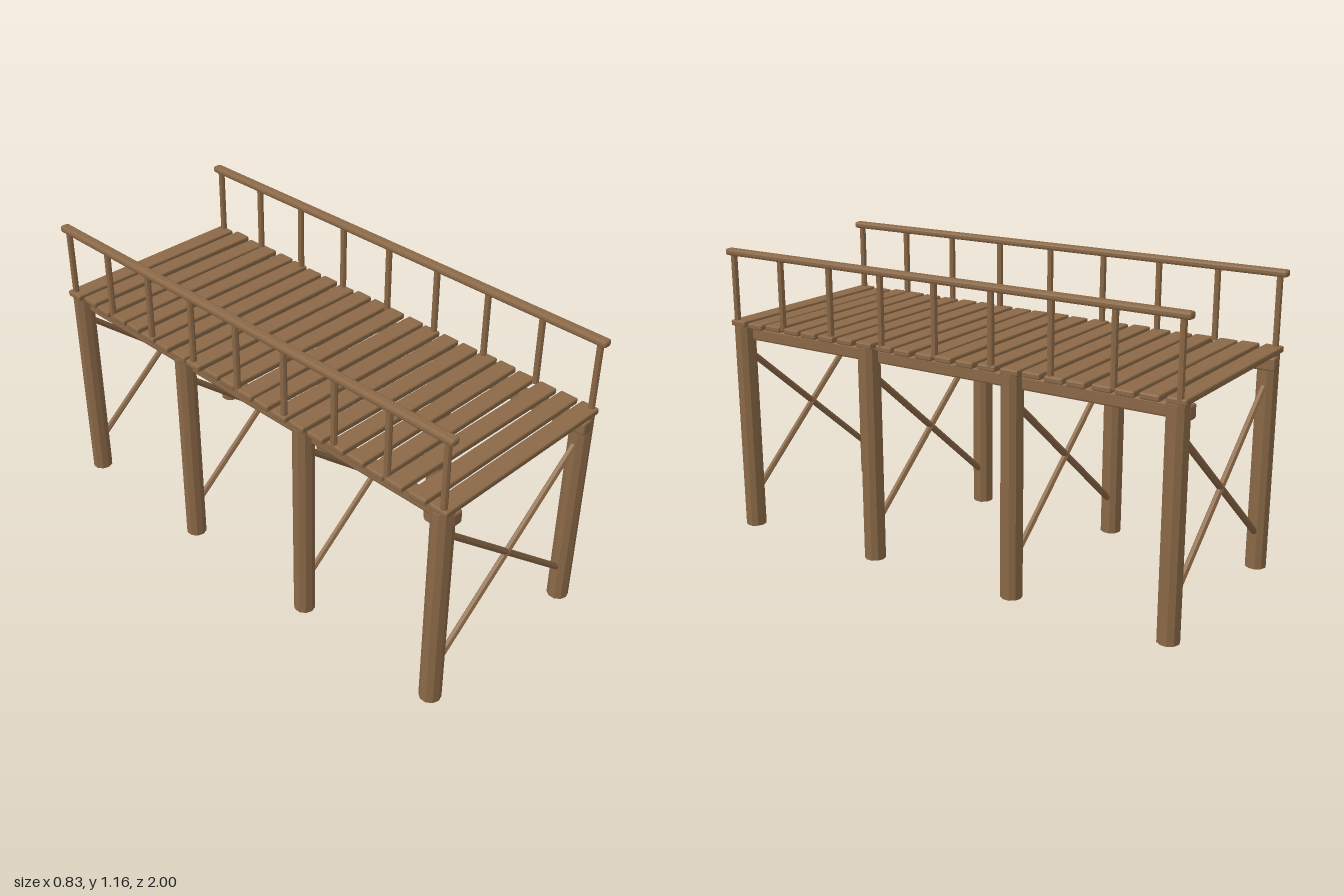
import * as THREE from 'three';
import { RoundedBoxGeometry } from 'three/addons/geometries/RoundedBoxGeometry.js';

const wood = new THREE.MeshStandardMaterial({ color: 0x8b6947 });
wood.name = 'brown wood';

// Faceted geometry: one normal per face
function faceted(geo) {
  const g = geo.index ? geo.toNonIndexed() : geo;
  g.computeVertexNormals();
  return g;
}

const bevelBox = (w, h, d, r) => faceted(new RoundedBoxGeometry(w, h, d, 1, r));
const pole = (r, h, sides) => faceted(new THREE.CylinderGeometry(r, r, h, sides));

function add(parent, name, geo, x, y, z) {
  const mesh = new THREE.Mesh(geo, wood);
  mesh.name = name;
  mesh.position.set(x, y, z);
  parent.add(mesh);
  return mesh;
}

// Small seeded generator, -1 to 1
function seeded(seed) {
  let s = seed;
  return () => {
    s = (s * 16807) % 2147483647;
    return (s / 2147483647) * 2 - 1;
  };
}

export function createModel() {
  const model = new THREE.Group();
  model.name = 'woodenPier';
  const rand = seeded(4211);

  // Four rows of support posts, each row tied by crossed braces
  const postGeo = pole(0.041, 0.85, 10);
  const braceGeo = pole(0.013, Math.hypot(0.72, 0.6), 6);
  const braceAngle = Math.atan2(0.72, 0.6);
  for (let row = 0; row < 4; row++) {
    const z = 0.953 - row * 0.635;
    for (const side of [-1, 1]) {
      add(model, 'supportPost', postGeo, side * 0.375, 0.425, z);
      add(model, 'crossBrace', braceGeo, 0, 0.438, z).rotation.z = side * braceAngle;
    }
  }

  // Deck planks, laid slightly unevenly
  const plankGeo = bevelBox(0.82, 0.024, 0.073, 0.006);
  const count = 22;
  for (let i = 0; i < count; i++) {
    const z = -0.957 + (i * 1.914) / (count - 1);
    const end = i === 0 || i === count - 1;
    const plank = add(model, 'deckPlank', plankGeo,
      rand() * 0.006, 0.859 + (end ? 0 : rand() * 0.002), z);
    if (!end) plank.rotation.y = rand() * 0.01;
  }

  // Long beams, handrails and balusters along both sides
  const beamGeo = bevelBox(0.048, 0.053, 1.99, 0.008);
  const railGeo = bevelBox(0.038, 0.027, 2, 0.009);
  const balusterGeo = pole(0.0125, 0.28, 8);
  for (const side of [-1, 1]) {
    add(model, 'deckBeam', beamGeo, side * 0.351, 0.8165, 0);
    add(model, 'handrail', railGeo, side * 0.395, 1.143, 0);
    for (let i = 0; i < 9; i++) {
      add(model, 'railBaluster', balusterGeo, side * 0.395, 1.0, 0.97 - i * 0.2422);
    }
  }
  return model;
}
